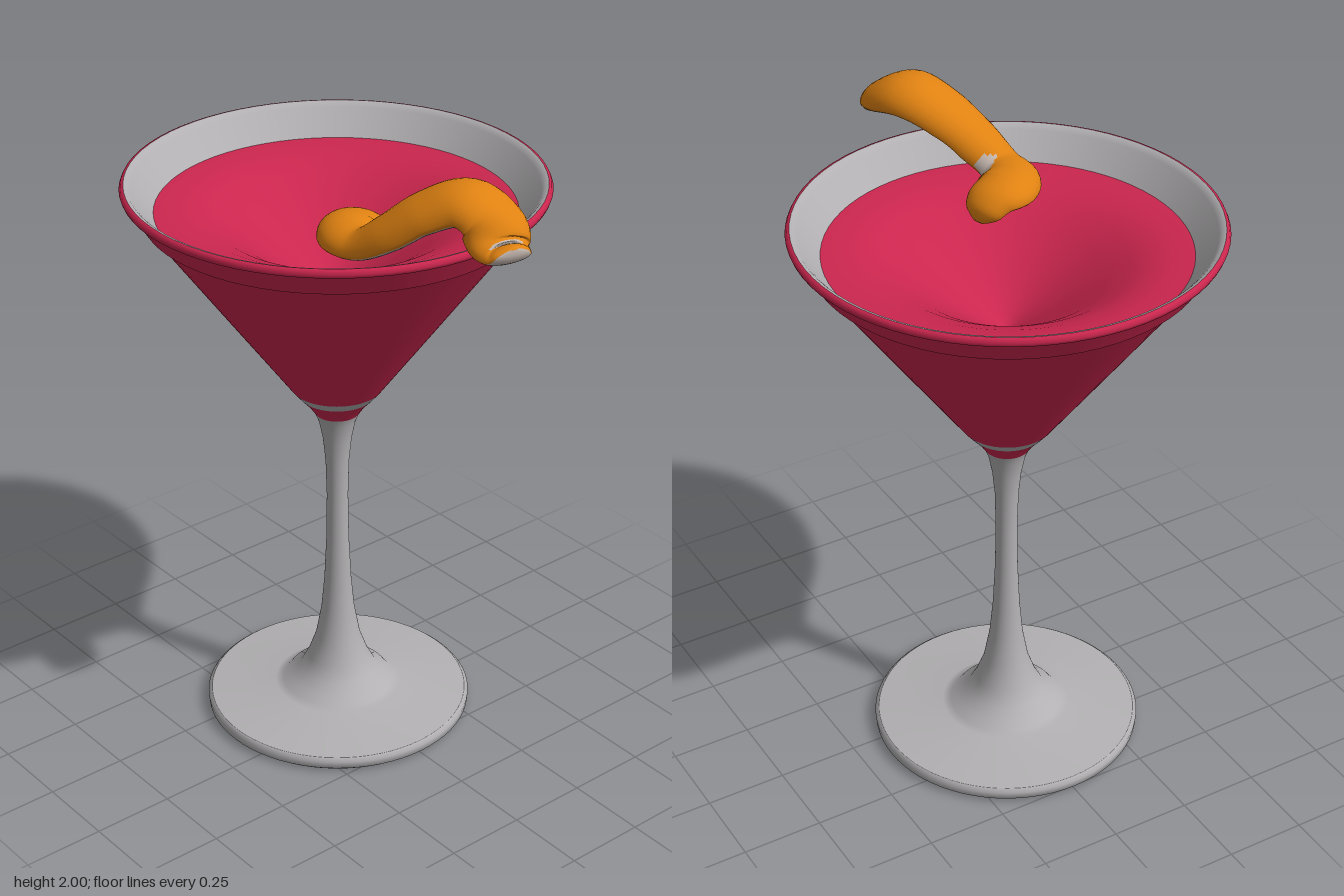
import * as THREE from 'three';

const AXIS_X = -0.1; // the glass stands left of centre, the peel overhangs the other side

const mat = (name, color) => {
  const m = new THREE.MeshStandardMaterial({ color });
  m.name = name;
  return m;
};

// Revolved part; a repeated point makes a sharp edge
function lathe(name, points, material) {
  const profile = points.map(([r, y]) => new THREE.Vector2(r, y));
  const mesh = new THREE.Mesh(new THREE.LatheGeometry(profile, 72), material);
  mesh.name = name;
  mesh.position.x = AXIS_X;
  return mesh;
}

// Twisted ribbon with a domed skin and a flatter pith underside
function peel(skin, pith) {
  // x, y, z, half width, height
  const stations = [
    [0.10, 1.70, 0.02, 0.05, 0.03],
    [0.115, 1.745, 0.07, 0.08, 0.05],
    [0.13, 1.755, 0.13, 0.095, 0.06],
    [0.18, 1.755, 0.18, 0.085, 0.06],
    [0.25, 1.76, 0.185, 0.07, 0.06],
    [0.33, 1.81, 0.15, 0.085, 0.07],
    [0.41, 1.88, 0.09, 0.10, 0.075],
    [0.50, 1.92, 0.03, 0.105, 0.08],
    [0.58, 1.89, 0.01, 0.10, 0.07],
    [0.635, 1.845, 0.03, 0.085, 0.05],
    [0.68, 1.845, 0.04, 0.07, 0.04],
    [0.705, 1.88, 0.045, 0.045, 0.025],
  ];
  const path = new THREE.CatmullRomCurve3(stations.map(s => new THREE.Vector3(s[0], s[1], s[2])));
  const size = new THREE.CatmullRomCurve3(stations.map(s => new THREE.Vector3(s[3], s[4], 0)));
  const rows = 72, cols = 32;
  const up = new THREE.Vector3(0, 1, 0);
  const pos = [], skinIdx = [], pithIdx = [];

  for (let i = 0; i <= rows; i++) {
    const u = i / rows;
    const p = path.getPoint(u), s = size.getPoint(u);
    const t = path.getTangent(u);
    const side = t.clone().cross(up).normalize();
    const normal = side.clone().cross(t);
    const end = Math.sqrt(Math.min(1, 0.12 + Math.min(u, 1 - u) * 25)); // rounded ends
    for (let j = 0; j < cols; j++) {
      const a = j / cols * Math.PI * 2;
      const h = Math.sin(a) * s.y * (Math.sin(a) > 0 ? 1 : 0.45);
      const v = p.clone().addScaledVector(side, Math.cos(a) * s.x * end).addScaledVector(normal, h * end);
      pos.push(v.x, v.y, v.z);
    }
  }
  for (let i = 0; i < rows; i++) for (let j = 0; j < cols; j++) {
    const u = (i + 0.5) / rows, a = (j + 0.5) / cols * 2;
    const under = a > 1.15 && a < 1.85;
    const tip = Math.hypot((u - 0.9) / 0.045, (a - 0.5) / 0.24) < 1;
    const fold = Math.hypot((u - 0.37) / 0.05, (a - 0.85) / 0.2) < 1;
    const k = (j + 1) % cols;
    const p00 = i * cols + j, p01 = i * cols + k, p10 = p00 + cols, p11 = p01 + cols;
    (under || tip || fold ? pithIdx : skinIdx).push(p00, p10, p01, p01, p10, p11);
  }
  // end caps
  for (let j = 1; j < cols - 1; j++) {
    const e = rows * cols;
    skinIdx.push(0, j, j + 1, e, e + j + 1, e + j);
  }

  const geo = new THREE.BufferGeometry();
  geo.setAttribute('position', new THREE.Float32BufferAttribute(pos, 3));
  geo.setIndex([...skinIdx, ...pithIdx]);
  geo.addGroup(0, skinIdx.length, 0);
  geo.addGroup(skinIdx.length, pithIdx.length, 1);
  geo.computeVertexNormals();
  const mesh = new THREE.Mesh(geo, [skin, pith]);
  mesh.name = 'citrusPeel';
  return mesh;
}

export function createModel() {
  const group = new THREE.Group();
  group.name = 'cocktailGlass';
  const glass = mat('glassGrey', 0xb2b0b2);
  const wine = mat('drinkRed', 0xcb264e);
  const orange = mat('peelOrange', 0xe08212);
  const pith = mat('pithGrey', 0xc6b8b0);

  // Foot with a slightly hollow underside, then the stem
  group.add(lathe('footAndStem', [
    [0, 0.025], [0.1, 0.012], [0.3, 0.006], [0.4, 0], [0.4, 0],
    [0.415, 0.012], [0.417, 0.035], [0.405, 0.045], [0.405, 0.045],
    [0.3, 0.056], [0.2, 0.068], [0.175, 0.075], [0.155, 0.1], [0.12, 0.122],
    [0.095, 0.17], [0.07, 0.24], [0.052, 0.34], [0.042, 0.45], [0.035, 0.6],
    [0.033, 0.75], [0.036, 0.87], [0.044, 0.95], [0.056, 1.01], [0.068, 1.04],
  ], glass));

  // Bowl outside: red collar, clear band, red cone with a lip
  group.add(lathe('bowlCollar', [[0.068, 1.04], [0.088, 1.07], [0.115, 1.1]], wine));
  group.add(lathe('bowlBand', [[0.115, 1.1], [0.14, 1.13]], glass));
  group.add(lathe('bowlCone', [
    [0.14, 1.13], [0.3, 1.352], [0.45, 1.561], [0.547, 1.696], [0.547, 1.696],
    [0.566, 1.705], [0.566, 1.705], [0.606, 1.772], [0.606, 1.772],
    [0.622, 1.779], [0.626, 1.79], [0.621, 1.801], [0.613, 1.803],
  ], wine));

  // Clear wall above the drink
  group.add(lathe('bowlInside', [
    [0.613, 1.803], [0.602, 1.799], [0.592, 1.788], [0.53, 1.712],
  ], glass));

  // Dished drink surface
  group.add(lathe('drinkSurface', [
    [0.535, 1.712], [0.47, 1.71], [0.41, 1.7], [0.35, 1.675], [0.28, 1.632],
    [0.2, 1.575], [0.1, 1.505], [0, 1.44],
  ], wine));

  group.add(peel(orange, pith));
  return group;
}
